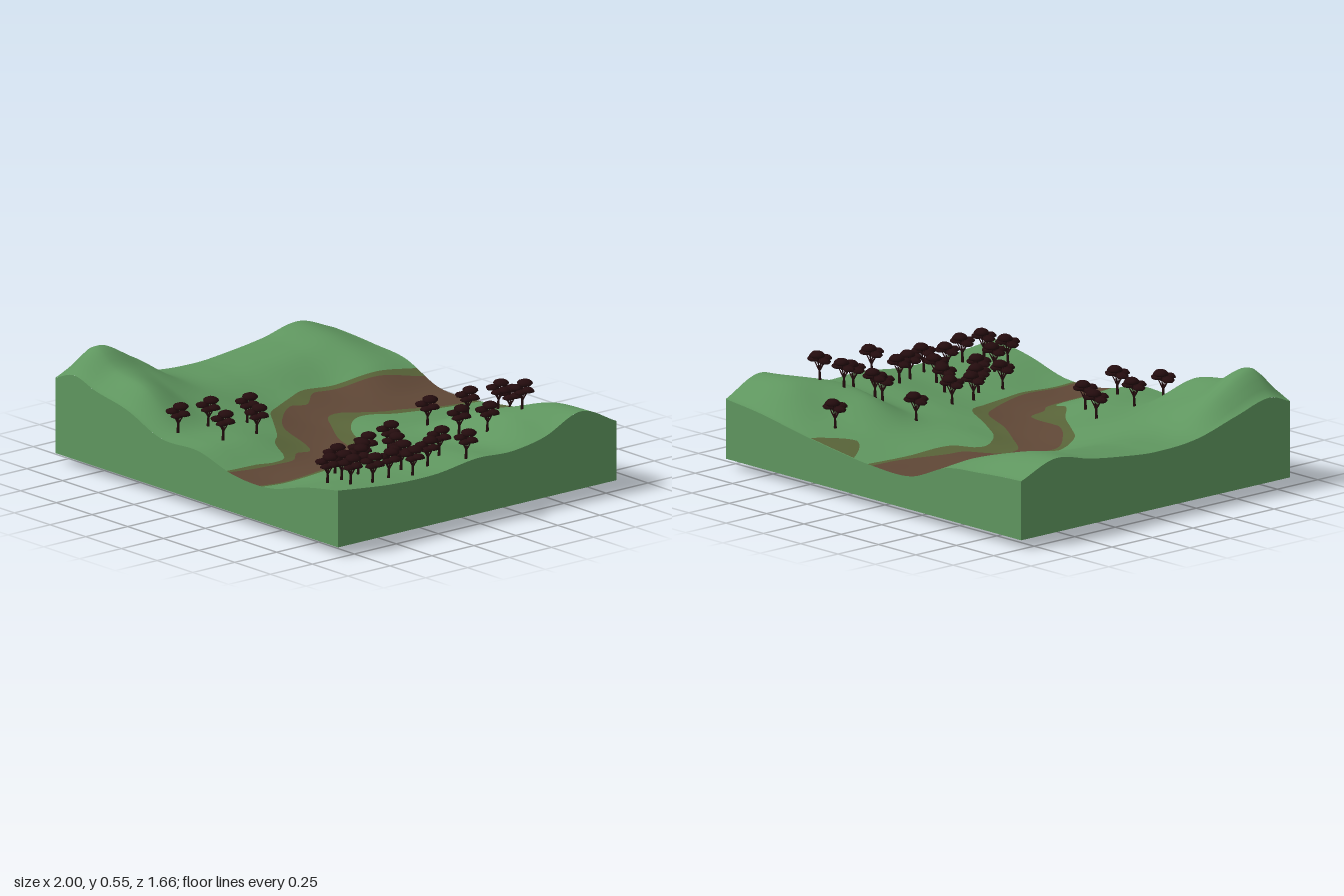
import * as THREE from 'three';
import { mergeGeometries } from 'three/addons/utils/BufferGeometryUtils.js';

const X0 = -1, X1 = 0.98, Z = 0.83;

// Height field: knots across (x) and one row of heights per z knot
const xs = [-1, -0.87, -0.72, -0.5, -0.26, 0, 0.25, 0.5, 0.75, 1];
const rows = [
  [-0.83, [0.33, 0.325, 0.315, 0.295, 0.21, 0.21, 0.235, 0.27, 0.31, 0.335]],
  [-0.62, [0.40, 0.39, 0.37, 0.31, 0.21, 0.215, 0.245, 0.30, 0.41, 0.42]],
  [-0.4, [0.36, 0.36, 0.34, 0.25, 0.21, 0.23, 0.26, 0.36, 0.39, 0.335]],
  [-0.2, [0.335, 0.335, 0.32, 0.25, 0.21, 0.235, 0.25, 0.275, 0.30, 0.31]],
  [0, [0.32, 0.32, 0.31, 0.26, 0.22, 0.215, 0.235, 0.265, 0.295, 0.318]],
  [0.25, [0.335, 0.34, 0.335, 0.31, 0.265, 0.23, 0.21, 0.235, 0.26, 0.29]],
  [0.5, [0.40, 0.48, 0.44, 0.37, 0.29, 0.28, 0.215, 0.23, 0.265, 0.292]],
  [0.7, [0.45, 0.565, 0.49, 0.445, 0.30, 0.29, 0.22, 0.22, 0.28, 0.31]],
  [0.83, [0.41, 0.45, 0.41, 0.37, 0.288, 0.288, 0.23, 0.225, 0.285, 0.325]],
];
const zs = rows.map((r) => r[0]);

// Smooth cubic curve through uneven knots
function cubic(k, v, t) {
  const n = k.length - 1;
  t = Math.min(Math.max(t, k[0]), k[n]);
  let i = 0;
  while (i < n - 1 && t > k[i + 1]) i++;
  const slope = (j) => {
    const a = Math.max(j - 1, 0), b = Math.min(j + 1, n);
    return (v[b] - v[a]) / (k[b] - k[a]);
  };
  const h = k[i + 1] - k[i], s = (t - k[i]) / h, s2 = s * s, s3 = s2 * s;
  return (2 * s3 - 3 * s2 + 1) * v[i] + (s3 - 2 * s2 + s) * h * slope(i)
    + (3 * s2 - 2 * s3) * v[i + 1] + (s3 - s2) * h * slope(i + 1);
}
const height = (x, z) => cubic(zs, rows.map((r) => cubic(xs, r[1], x)), z);

// Uneven underside that meets the walls at a level rim
function underside(x, z) {
  const d = Math.min(x - X0, X1 - x, Z - Math.abs(z));
  const e = Math.min(1, d / 0.12);
  const sag = 0.026 + 0.012 * Math.sin(x * 5 + 0.6) * Math.sin(z * 5 - 0.4) + 0.008 * Math.cos(x * 3);
  return 0.053 - e * sag * (1 - 0.6 * Math.min(1, Math.abs(x)));
}

// River edges as [z, x] points
const outerLeft = [[-0.83, -0.42], [-0.6, -0.45], [-0.4, -0.5], [-0.24, -0.52], [-0.1, -0.47], [0, -0.42],
  [0.1, -0.35], [0.18, -0.24], [0.3, -0.07], [0.42, 0.06], [0.46, 0.17], [0.54, 0.2], [0.65, 0.19], [0.83, 0.2]];
const innerLeft = [[-0.83, -0.36], [-0.61, -0.42], [-0.34, -0.48], [-0.26, -0.48], [-0.16, -0.4], [-0.07, -0.41],
  [0.06, -0.31], [0.2, -0.13], [0.24, 0.05], [0.28, 0.14], [0.37, 0.15], [0.44, 0.21], [0.55, 0.22], [0.83, 0.215]];
const innerRight = [[-0.83, 0], [-0.66, -0.02], [-0.45, -0.1], [-0.37, -0.12], [-0.29, -0.2], [-0.23, -0.25],
  [-0.14, -0.23], [-0.05, -0.1], [0.06, 0.08], [0.14, 0.27], [0.24, 0.35], [0.4, 0.41], [0.56, 0.44], [0.83, 0.43]];
const outerRight = [[-0.83, 0.03], [-0.6, 0], [-0.37, -0.03], [-0.29, -0.11], [-0.21, -0.11], [-0.08, 0],
  [0.02, 0.17], [0.11, 0.35], [0.24, 0.41], [0.4, 0.44], [0.54, 0.46], [0.83, 0.45]];
const edge = (pts) => (z) => cubic(pts.map((p) => p[0]), pts.map((p) => p[1]), z);

// Grid surface from a point rule
function grid(fn, nu, nv) {
  const pos = [], idx = [];
  for (let j = 0; j <= nv; j++) for (let i = 0; i <= nu; i++) pos.push(...fn(i / nu, j / nv));
  for (let j = 0; j < nv; j++) for (let i = 0; i < nu; i++) {
    const a = j * (nu + 1) + i, c = a + nu + 1;
    idx.push(a, c, a + 1, a + 1, c, c + 1);
  }
  const g = new THREE.BufferGeometry();
  g.setAttribute('position', new THREE.Float32BufferAttribute(pos, 3));
  g.setIndex(idx);
  g.computeVertexNormals();
  return g;
}

// Piece of ground between two edges, with normals taken from the whole field
function ground(left, right, nu, nv, z0 = -Z, z1 = Z, lift = 0) {
  const g = grid((u, v) => {
    const z = z0 + (z1 - z0) * v, x = left(z) + (right(z) - left(z)) * u;
    return [x, height(x, z) + lift, z];
  }, nu, nv);
  const p = g.attributes.position, n = new THREE.Vector3(), e = 0.01;
  for (let i = 0; i < p.count; i++) {
    const x = p.getX(i), z = p.getZ(i);
    n.set(height(x - e, z) - height(x + e, z), 2 * e, height(x, z - e) - height(x, z + e)).normalize();
    g.attributes.normal.setXYZ(i, n.x, n.y, n.z);
  }
  return g;
}

// Tapered limb between two points
function limb(a, b, ra, rb) {
  const A = new THREE.Vector3(...a), d = new THREE.Vector3(...b).sub(A);
  const g = new THREE.CylinderGeometry(rb, ra, d.length(), 6);
  g.translate(0, d.length() / 2, 0);
  g.applyQuaternion(new THREE.Quaternion().setFromUnitVectors(new THREE.Vector3(0, 1, 0), d.normalize()));
  return g.translate(...a);
}

// Spreading tree with flat-bottomed leaf pads: [x, y, z, radius]
const pads = [[-0.036, 0.09, -0.004, 0.028], [0.036, 0.092, -0.006, 0.029], [0.002, 0.117, -0.016, 0.036],
  [-0.012, 0.1, 0.026, 0.028], [0.017, 0.083, 0.022, 0.026]];
function treeGeometry() {
  const parts = [limb([0, -0.012, 0], [0.003, 0.05, 0], 0.008, 0.005)];
  for (const [x, y, z, r] of pads) {
    parts.push(limb([0.003, 0.042, 0], [x, y, z], 0.004, 0.002));
    const leaf = new THREE.SphereGeometry(r, 12, 8), p = leaf.attributes.position;
    for (let i = 0; i < p.count; i++) {
      const a = Math.atan2(p.getZ(i), p.getX(i)), k = 1 + 0.09 * Math.cos(5 * a + x * 90);
      const py = p.getY(i);
      p.setXYZ(i, p.getX(i) * k, py * (py < 0 ? 0.35 : 0.6), p.getZ(i) * k);
    }
    leaf.computeVertexNormals();
    parts.push(leaf.translate(x, y, z));
  }
  return mergeGeometries(parts);
}
const treeSpots = [[0.43, -0.66], [0.74, -0.47], [0.62, -0.43], [0.51, -0.34], [0.72, -0.28], [0.3, -0.28],
  [0.58, -0.23], [0.935, 0.03], [0.77, 0.05], [0.45, 0.08], [0.83, 0.17], [0.62, 0.19], [0.48, 0.24],
  [0.75, 0.26], [0.89, 0.31], [0.555, 0.34], [0.84, 0.41], [0.65, 0.43], [0.535, 0.47], [0.88, 0.54],
  [0.71, 0.58], [0.855, 0.65], [0.74, 0.69], [-0.245, 0.33], [-0.085, 0.41], [-0.26, 0.55],
  [-0.05, 0.64], [-0.26, 0.73]];

export function createModel() {
  const group = new THREE.Group();
  const material = (name, color) => Object.assign(new THREE.MeshStandardMaterial({ color }), { name });
  const grass = material('grass green', 0x5f965f);
  const bank = material('olive bank', 0x586338);
  const mud = material('river brown', 0x5f4736);
  const wood = material('dark tree', 0x240c0e);
  const add = (name, geometry, mat) => {
    const m = new THREE.Mesh(geometry, mat);
    m.name = name;
    group.add(m);
    return m;
  };

  // Ground, split along the river edges
  const [ol, il, ir, or] = [outerLeft, innerLeft, innerRight, outerRight].map(edge);
  add('grassWest', ground(() => X0, ol, 36, 100), grass);
  add('bankWest', ground(ol, il, 4, 100), bank);
  add('riverBed', ground(il, ir, 14, 100), mud);
  add('bankEast', ground(ir, or, 4, 100), bank);
  add('grassEast', ground(or, () => X1, 36, 100), grass);

  // Small muddy hollow at the back edge
  const half = (z) => 0.148 * Math.pow(Math.max(0, 1 - (z + Z) / 0.155), 0.65);
  add('backHollow', ground((z) => 0.27 - half(z), (z) => 0.265 + half(z), 12, 12, -Z, -Z + 0.155, 0.003), bank);

  // Walls around the block
  const corners = [[X0, Z], [X1, Z], [X1, -Z], [X0, -Z]];
  ['frontWall', 'rightWall', 'backWall', 'leftWall'].forEach((name, i) => {
    const a = corners[i], b = corners[(i + 1) % 4];
    add(name, grid((u, v) => {
      const x = a[0] + (b[0] - a[0]) * u, z = a[1] + (b[1] - a[1]) * u, top = height(x, z);
      return [x, top + (underside(x, z) - top) * v, z];
    }, 80, 1), grass);
  });
  add('underside', grid((u, v) => {
    const x = X1 + (X0 - X1) * u, z = -Z + 2 * Z * v;
    return [x, underside(x, z), z];
  }, 40, 34), grass);

  // Trees
  const tree = treeGeometry();
  for (const [x, z] of treeSpots) add('tree', tree, wood).position.set(x, height(x, z), z);
  return group;
}
